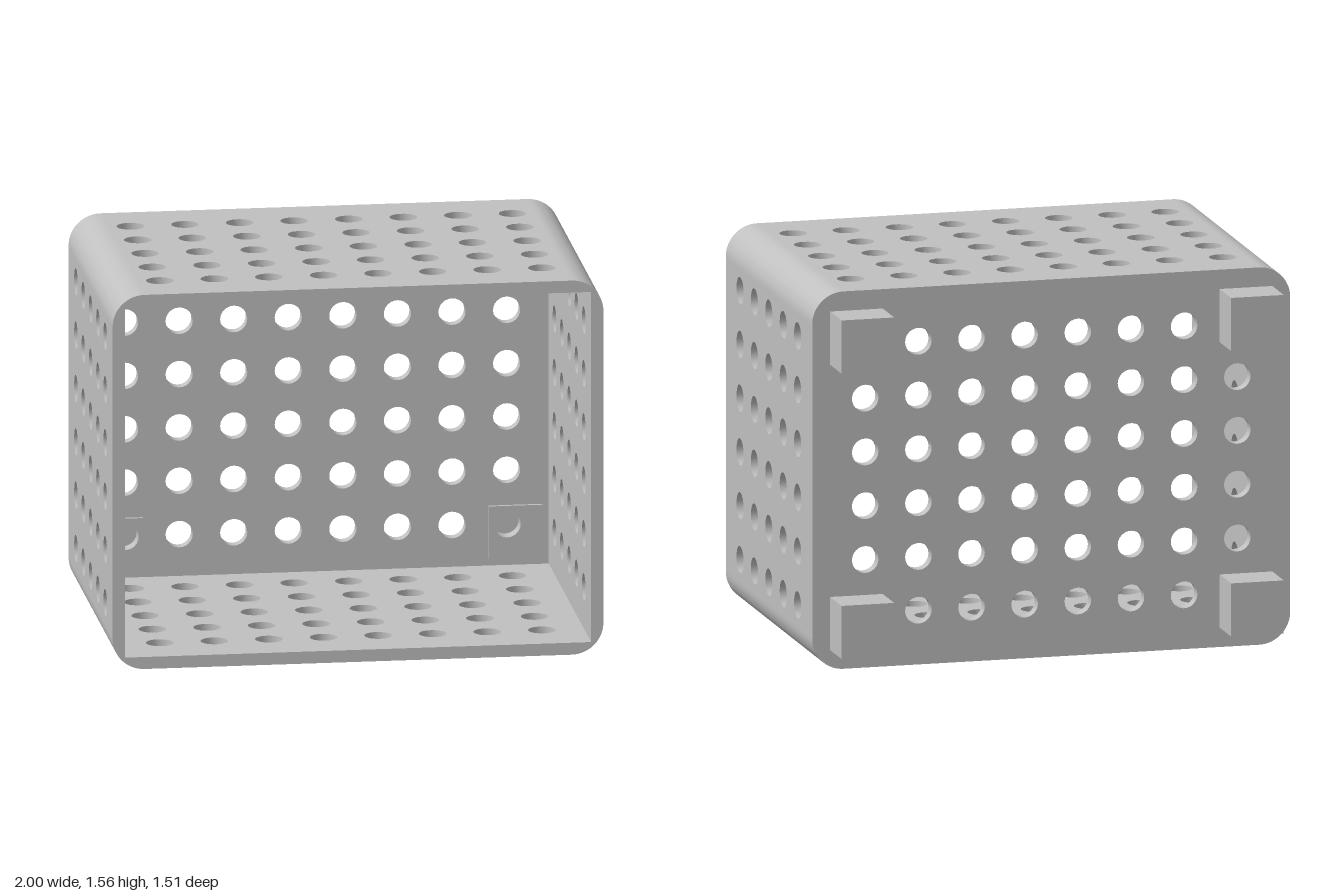
import * as THREE from 'three';
import { toCreasedNormals } from 'three/addons/utils/BufferGeometryUtils.js';

const W = 1, H = 1.56;              // half width, height
const BACK = -0.58, FRONT = 0.756;  // depth range of the bin
const T = 0.05, R = 0.13;           // wall thickness, outer corner radius
const HOLE = 0.0556, PITCH = 0.2224;

const row = (start, count) => Array.from({ length: count }, (_, i) => start + i * PITCH);
const holeX = row(-3.5 * PITCH, 8);
const holeY = row(H / 2 - 2.5 * PITCH, 6);
const holeZ = row(-0.355, 5);

export function createModel() {
  const group = new THREE.Group();
  const grey = new THREE.MeshStandardMaterial({ color: 0xc0c0c0 });
  grey.name = 'light grey';

  const add = (name, geometry, x, y, z, rx = 0, ry = 0, rz = 0) => {
    const mesh = new THREE.Mesh(geometry, grey);
    mesh.name = name;
    mesh.position.set(x, y, z);
    mesh.rotation.set(rx, ry, rz);
    group.add(mesh);
  };

  const extrude = (shape, depth) => toCreasedNormals(
    new THREE.ExtrudeGeometry(shape, { depth, bevelEnabled: false, curveSegments: 12 }), 0.5);

  // Rectangular plate with a round hole at every (u, v) pair
  const panel = (u0, u1, v0, v1, us, vs, depth = T) => {
    const shape = new THREE.Shape([[u0, v0], [u1, v0], [u1, v1], [u0, v1]]
      .map(([u, v]) => new THREE.Vector2(u, v)));
    for (const u of us) for (const v of vs) {
      shape.holes.push(new THREE.Path().absarc(u, v, HOLE, 0, Math.PI * 2, true));
    }
    return extrude(shape, depth);
  };

  // Perforated walls
  const minusZ = holeZ.map((z) => -z);
  const side = panel(-FRONT, -BACK, R, H - R, minusZ, holeY);
  add('leftWall', side, W - T, 0, 0, 0, Math.PI / 2);
  add('rightWall', side, -W, 0, 0, 0, Math.PI / 2);
  const flat = panel(-W + R, W - R, -FRONT, -BACK, holeX, minusZ);
  add('topWall', flat, 0, H - T, 0, -Math.PI / 2);
  add('bottomWall', flat, 0, 0, 0, -Math.PI / 2);
  add('backWall', panel(-W + T, W - T, T, H - T, holeX, holeY), 0, 0, BACK);

  // Long edges: rounded outside, square inside
  const edge = new THREE.Shape();
  edge.absarc(0, 0, R, 0, Math.PI / 2, false);
  edge.lineTo(0, R - T);
  edge.lineTo(R - T, R - T);
  edge.lineTo(R - T, 0);
  edge.closePath();
  const edgeGeometry = extrude(edge, FRONT - BACK);
  [[1, 1], [-1, 1], [-1, -1], [1, -1]].forEach(([sx, sy], i) => {
    add('roundedEdge', edgeGeometry, sx * (W - R), H / 2 + sy * (H / 2 - R), BACK,
      0, 0, i * Math.PI / 2);
  });

  // Mounting blocks behind the back wall, each with a thin pierced pad inside
  const size = 0.22, cx = 0.815, cy = 0.59, depth = BACK + FRONT;
  const block = new THREE.BoxGeometry(size, size, depth);
  for (const sx of [-1, 1]) for (const sy of [-1, 1]) {
    const x = sx * cx, y = H / 2 + sy * cy, h = size / 2;
    add('mountingBlock', block, x, y, BACK - depth / 2);
    add('innerPad', panel(x - h, x + h, y - h, y + h,
      [sx * 3.5 * PITCH], [H / 2 + sy * 2.5 * PITCH], 0.015), 0, 0, BACK + T);
  }
  return group;
}
